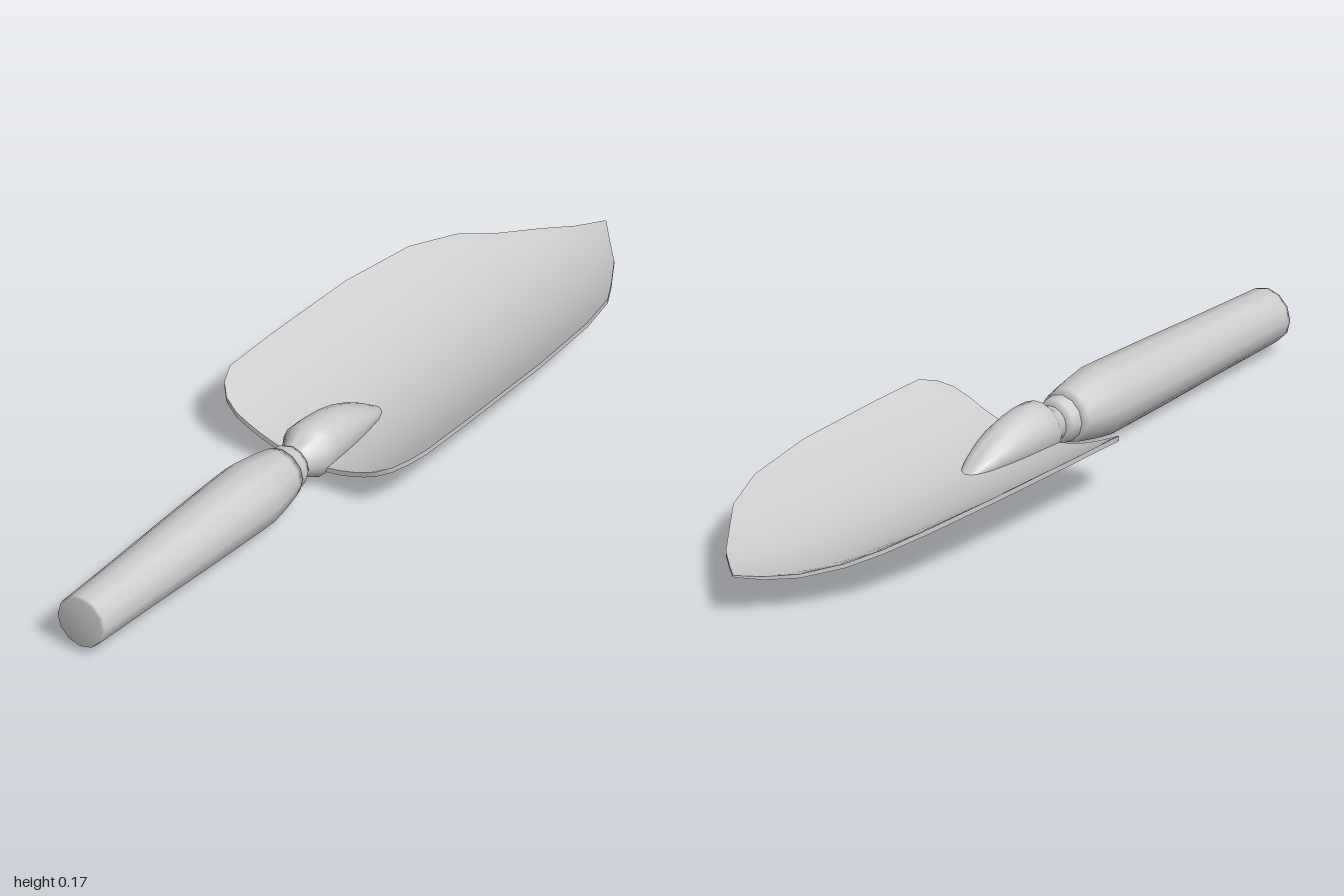
import * as THREE from 'three';
import { toCreasedNormals } from 'three/addons/utils/BufferGeometryUtils.js';

const AXIS_Y = 0.084;

// Skins a list of counter-clockwise rings running from +z to -z, closing the first ring.
function loft(rings, crease) {
  const n = rings[0].length;
  const index = [];
  for (let r = 0; r < rings.length - 1; r++) {
    for (let i = 0; i < n; i++) {
      const a = r * n + i, b = r * n + (i + 1) % n;
      index.push(a, a + n, b, b, a + n, b + n);
    }
  }
  for (let i = 0; i < n / 2 - 1; i++) {
    index.push(i, i + 1, n - 1 - i, i + 1, n - 2 - i, n - 1 - i);
  }
  const geometry = new THREE.BufferGeometry();
  geometry.setAttribute('position', new THREE.Float32BufferAttribute(rings.flat(2), 3));
  geometry.setIndex(index);
  return toCreasedNormals(geometry, crease);
}

// Dished blade: each row is [z, half width, centre height, thickness]
function bladeGeometry() {
  const rows = [
    [0.14, 0.20, 0.058, 0.013], [0.128, 0.238, 0.058, 0.013], [0.10, 0.265, 0.058, 0.013],
    [0.055, 0.283, 0.058, 0.013], [-0.1, 0.284, 0.058, 0.013], [-0.38, 0.279, 0.06, 0.013],
    [-0.59, 0.257, 0.064, 0.013], [-0.72, 0.218, 0.067, 0.012], [-0.8, 0.168, 0.07, 0.011],
    [-0.89, 0.108, 0.08, 0.01], [-0.95, 0.05, 0.091, 0.008], [-1, 0.002, 0.103, 0.005],
  ];
  const steps = 12;
  const rings = rows.map(([z, w, base, thick]) => {
    const top = [], bottom = [];
    for (let i = 0; i <= steps; i++) {
      const x = w * (1 - 2 * i / steps);
      const y = base + 1.25 * x * x;
      top.push([x, y + thick / 2, z]);
      bottom.unshift([x, y - thick / 2, z]);
    }
    return [...top, ...bottom];
  });
  return loft(rings, 0.9);
}

// Socket fading into the blade: each row is [z, half width, top, bottom]
function socketGeometry() {
  const rows = [
    [0.195, 0.042, 0.126, 0.042], [0.175, 0.044, 0.13, 0.04], [0.14, 0.066, 0.156, 0.022],
    [0.1, 0.064, 0.158, 0.024], [0.05, 0.06, 0.153, 0.026], [0, 0.055, 0.14, 0.032],
    [-0.05, 0.046, 0.118, 0.041], [-0.09, 0.036, 0.094, 0.047], [-0.12, 0.023, 0.073, 0.052],
    [-0.14, 0.008, 0.06, 0.055],
  ];
  const sides = 16;
  const rings = rows.map(([z, w, top, bottom]) => Array.from({ length: sides }, (_, i) => {
    const a = (i + 0.5) / sides * Math.PI * 2;
    return [w * Math.cos(a), (top + bottom) / 2 + (top - bottom) / 2 * Math.sin(a), z];
  }));
  return loft(rings, 1.1);
}

// Turned part along z from [radius, z] pairs
function turned(profile) {
  const points = profile.map(([r, z]) => new THREE.Vector2(r, z));
  return new THREE.LatheGeometry(points, 12).rotateX(Math.PI / 2).translate(0, AXIS_Y, 0);
}

export function createModel() {
  const group = new THREE.Group();
  const material = new THREE.MeshStandardMaterial({ color: 0xcccccc });
  const add = (name, geometry) => {
    const mesh = new THREE.Mesh(geometry, material);
    mesh.name = name;
    group.add(mesh);
  };

  add('blade', bladeGeometry());
  add('socket', socketGeometry());
  // Narrow ring between socket and grip
  add('collar', turned([[0, 0.188], [0.046, 0.19], [0.054, 0.205], [0.058, 0.24]]));
  // Tapered grip with a flat, softly shaded end
  add('handle', turned([
    [0, 0.23], [0.06, 0.23], [0.066, 0.25], [0.076, 0.3], [0.084, 0.355], [0.083, 0.42],
    [0.078, 0.6], [0.071, 0.8], [0.066, 0.99], [0.064, 1], [0, 1],
  ]));
  return group;
}
